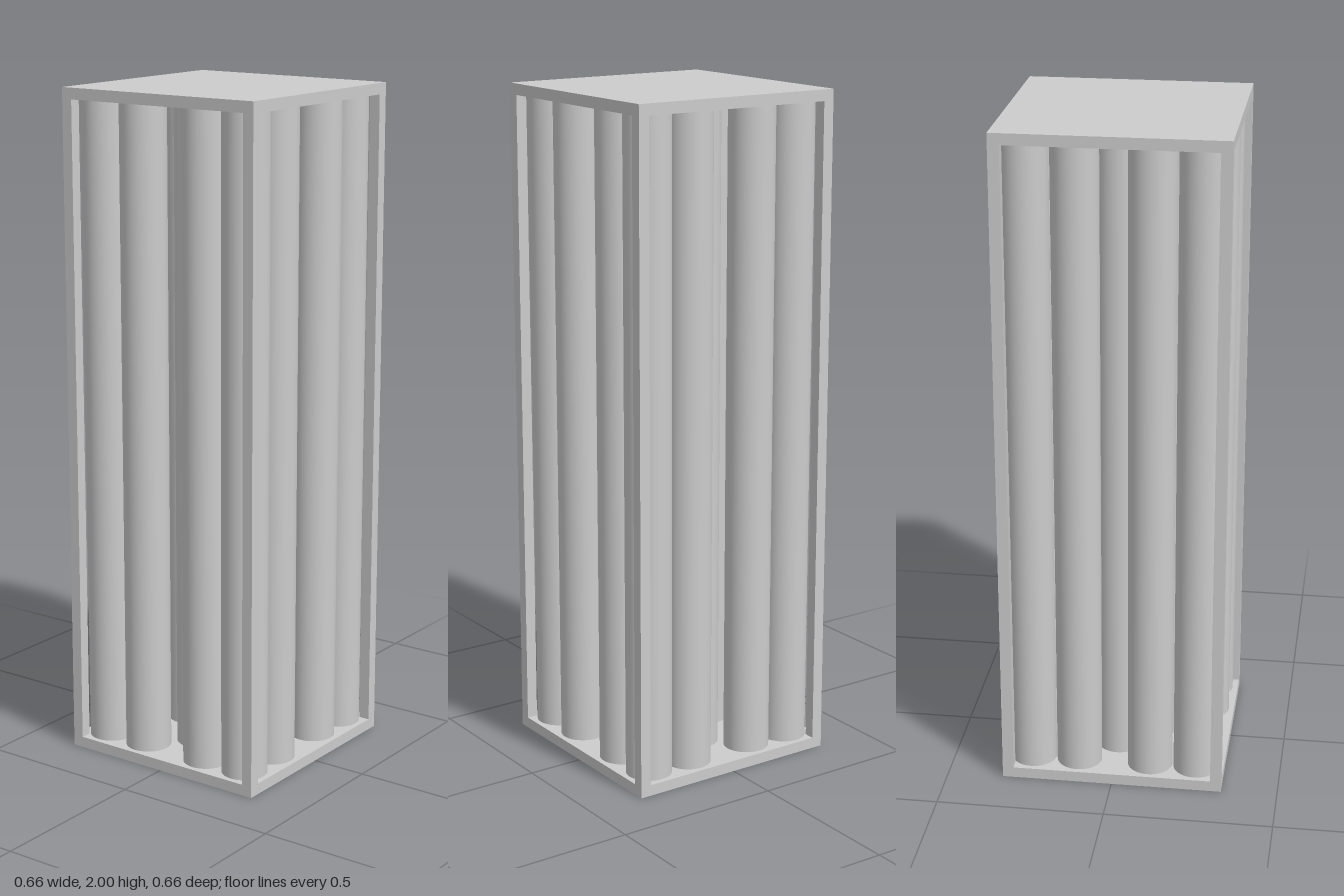
import * as THREE from 'three';

const WIDTH = 0.664, HEIGHT = 2, BAR = 0.033;
const TUBE_RADIUS = 0.068, NEAR = 0.108, FAR = 0.248, INNER = 0.135;

export function createModel() {
  const root = new THREE.Group();
  root.name = 'framedTubeBundle';
  const grey = new THREE.MeshStandardMaterial({ color: 0xcccccc });
  grey.name = 'light grey';

  const add = (name, geometry, x, y, z) => {
    const mesh = new THREE.Mesh(geometry, grey);
    mesh.name = name;
    mesh.position.set(x, y, z);
    root.add(mesh);
  };

  // Floor and roof plates
  const plate = new THREE.BoxGeometry(WIDTH, BAR, WIDTH);
  add('basePlate', plate, 0, BAR / 2, 0);
  add('topPlate', plate, 0, HEIGHT - BAR / 2, 0);

  // Four square corner posts between the plates
  const post = new THREE.BoxGeometry(BAR, HEIGHT - 2 * BAR, BAR);
  const corner = (WIDTH - BAR) / 2;
  for (const sx of [-1, 1]) {
    for (const sz of [-1, 1]) add('cornerPost', post, sx * corner, HEIGHT / 2, sz * corner);
  }

  // Outer ring of twelve tubes, four along each side
  const tube = new THREE.CylinderGeometry(TUBE_RADIUS, TUBE_RADIUS, HEIGHT - BAR, 40);
  const stops = [-FAR, -NEAR, NEAR, FAR];
  for (const x of stops) {
    for (const z of stops) {
      if (Math.max(Math.abs(x), Math.abs(z)) === FAR) add('outerTube', tube, x, HEIGHT / 2, z);
    }
  }

  // Four inner tubes set behind the middle gaps
  for (let i = 0; i < 4; i++) {
    const a = (i * Math.PI) / 2;
    add('innerTube', tube, INNER * Math.cos(a), HEIGHT / 2, INNER * Math.sin(a));
  }
  return root;
}
